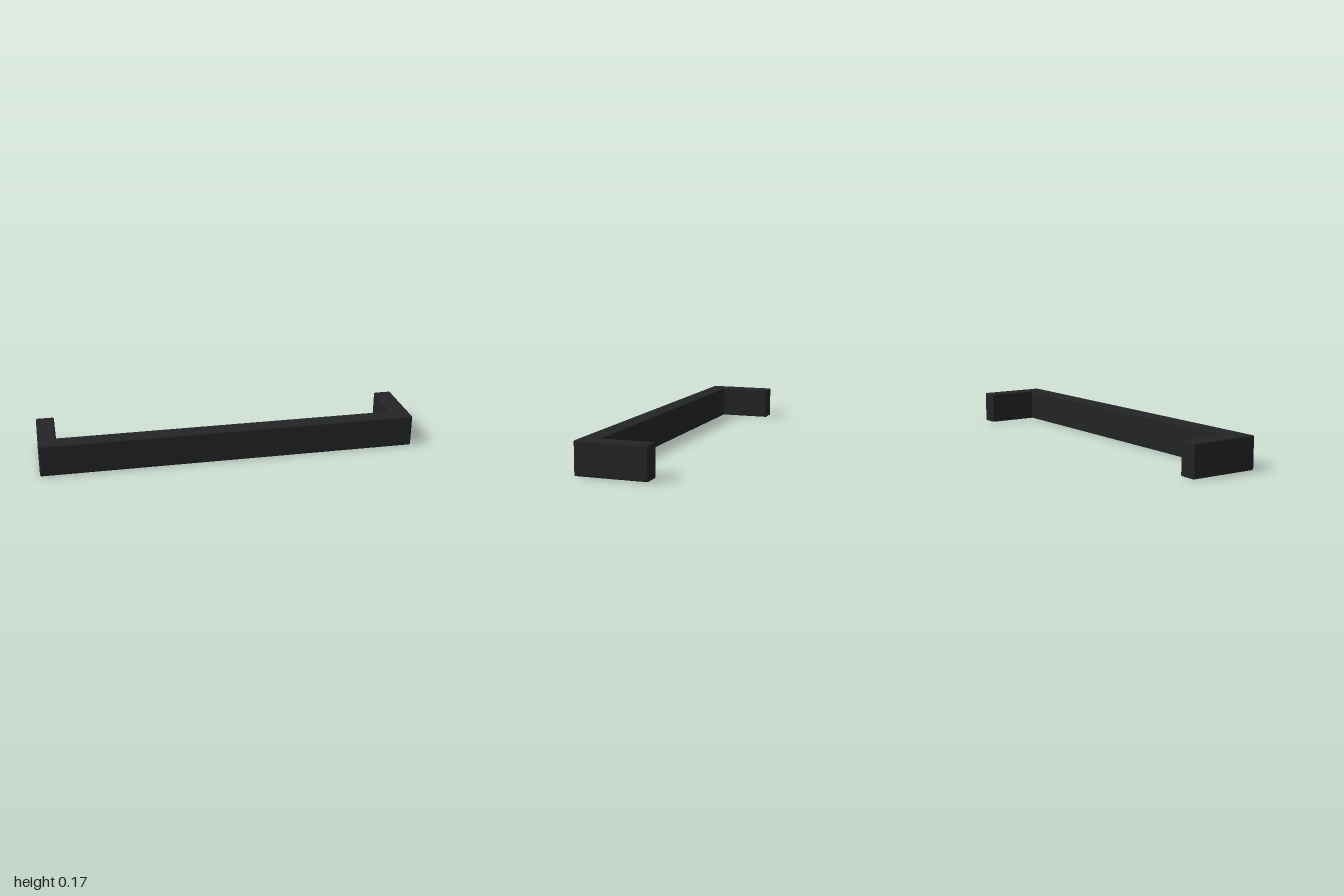
import * as THREE from 'three';

const WIDTH = 2, DEPTH = 0.37, HEIGHT = 0.167, THICK = 0.096;
const BEVEL = 0.006, RADIUS = 0.012;

// Closed counterclockwise outline: outer corners get a small fillet, inner ones stay sharp
function filletedOutline(corners, radius) {
  const shape = new THREE.Shape();
  const n = corners.length;
  corners.forEach((corner, i) => {
    const before = corners[(i + n - 1) % n].clone().sub(corner);
    const after = corners[(i + 1) % n].clone().sub(corner);
    if (after.cross(before) < 0) {
      shape.lineTo(corner.x, corner.y);
      return;
    }
    const start = before.setLength(radius).add(corner);
    const end = after.setLength(radius).add(corner);
    if (i === 0) shape.moveTo(start.x, start.y);
    else shape.lineTo(start.x, start.y);
    shape.quadraticCurveTo(corner.x, corner.y, end.x, end.y);
  });
  shape.closePath();
  return shape;
}

export function createModel() {
  const group = new THREE.Group();
  group.name = 'barHandle';

  // U-shaped plan: a long grip at the front and two legs reaching back
  const x = WIDTH / 2, y = DEPTH / 2;
  const corners = [
    [-x, -y], [x, -y], [x, y], [x - THICK, y],
    [x - THICK, -y + THICK], [-x + THICK, -y + THICK],
    [-x + THICK, y], [-x, y],
  ].map(([px, py]) => new THREE.Vector2(px, py));

  // Extruded upwards with finely rounded edges
  const geometry = new THREE.ExtrudeGeometry(filletedOutline(corners, RADIUS), {
    depth: HEIGHT - 2 * BEVEL,
    bevelThickness: BEVEL,
    bevelSize: BEVEL,
    bevelOffset: -BEVEL,
    bevelSegments: 4,
    curveSegments: 5,
  });
  geometry.rotateX(-Math.PI / 2).translate(0, BEVEL, 0);

  const handle = new THREE.Mesh(
    geometry,
    new THREE.MeshStandardMaterial({ color: 0x222426 }),
  );
  handle.name = 'handle';
  group.add(handle);
  return group;
}
